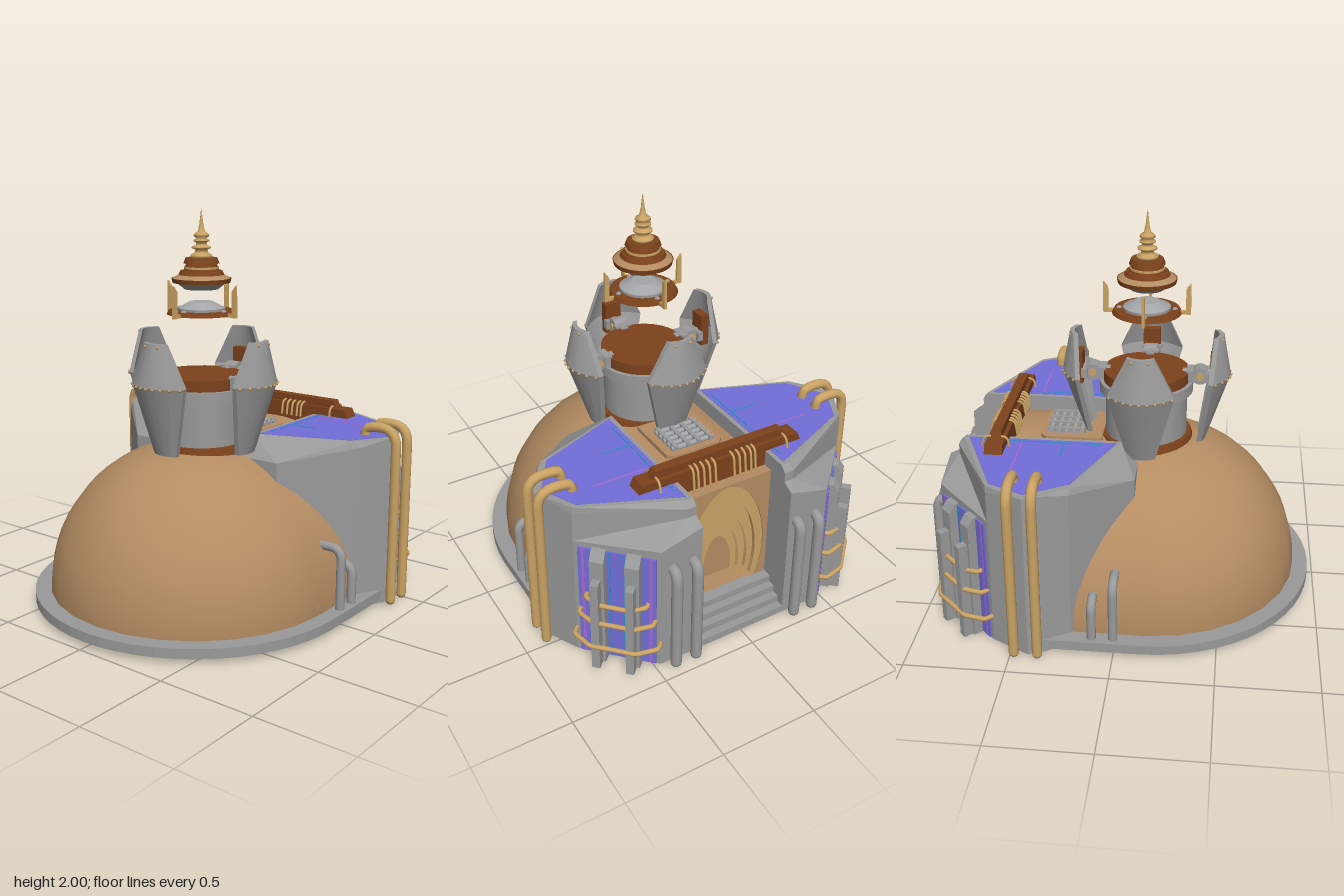
import * as THREE from 'three';
import { ConvexGeometry } from 'three/addons/geometries/ConvexGeometry.js';
import { toCreasedNormals } from 'three/addons/utils/BufferGeometryUtils.js';

const mat = (name, color, side = THREE.FrontSide) => {
  const m = new THREE.MeshStandardMaterial({ color, side });
  m.name = name;
  return m;
};
const V = (x, y, z) => new THREE.Vector3(x, y, z);

// Convex hull without its floor, so it reads as a hollow shell from below
function openHull(points) {
  const g = new ConvexGeometry(points), p = g.attributes.position, keep = [];
  for (let i = 0; i < p.count; i += 3)
    if (Math.max(p.getY(i), p.getY(i + 1), p.getY(i + 2)) > 0.001) keep.push(i, i + 1, i + 2);
  g.setIndex(keep);
  return g;
}

// Curved shell: each level is [y, half width, outer radius, edge radius]
function petalShell(levels, thick = 0.025, n = 6) {
  const pos = [], idx = [], ring = 2 * (n + 1);
  for (const [y, w, out, edge] of levels) {
    for (const inner of [0, 1]) for (let i = 0; i <= n; i++) {
      const u = (inner ? 1 - (2 * i) / n : (2 * i) / n - 1);
      pos.push(u * w, y, out - (out - edge) * u * u - inner * thick);
    }
  }
  const last = (levels.length - 1) * ring;
  for (let l = 0; l < last; l += ring) for (let i = 0; i < ring; i++) {
    const a = l + i, b = l + ((i + 1) % ring);
    idx.push(a, b, b + ring, a, b + ring, a + ring);
  }
  for (let i = 0; i < n; i++) {
    const j = ring - 1 - i;
    idx.push(i, j, j - 1, i, j - 1, i + 1);
    idx.push(last + i, last + i + 1, last + j - 1, last + i, last + j - 1, last + j);
  }
  const g = new THREE.BufferGeometry();
  g.setAttribute('position', new THREE.Float32BufferAttribute(pos, 3));
  g.setIndex(idx);
  return toCreasedNormals(g, 0.4);
}

export function createModel() {
  const root = new THREE.Group();
  root.name = 'domedTemple';
  const tan = mat('tan', 0xb48c62, THREE.DoubleSide), gray = mat('gray', 0x9a9a9a, THREE.DoubleSide), pale = mat('paleGray', 0xa4a5a8);
  const gold = mat('gold', 0xcaa364), brown = mat('brown', 0x7c421c), violet = mat('violet', 0x736dd8);
  const cyan = mat('cyan', 0x2f8fd0), pink = mat('pink', 0xa56ad6);

  const add = (name, geo, material, x = 0, y = 0, z = 0, parent = root) => {
    const m = new THREE.Mesh(geo, material);
    m.name = name;
    m.position.set(x, y, z);
    parent.add(m);
    return m;
  };
  const box = (name, w, h, d, material, x, y, z, parent) => add(name, new THREE.BoxGeometry(w, h, d), material, x, y, z, parent);
  const cyl = (name, rt, rb, y0, y1, material, parent, n = 32) =>
    add(name, new THREE.CylinderGeometry(rt, rb, y1 - y0, n), material, 0, (y0 + y1) / 2, 0, parent);
  // Pipe through points with rounded bends and capped ends
  const pipe = (name, pts, r, material, parent = root, bend = 0.06) => {
    const path = new THREE.CurvePath();
    let from = pts[0];
    for (let i = 1; i < pts.length - 1; i++) {
      const cut = (to) => {
        const d = to.clone().sub(pts[i]);
        return pts[i].clone().add(d.setLength(Math.min(bend, d.length() * 0.49)));
      };
      const a = cut(pts[i - 1]), b = cut(pts[i + 1]);
      path.add(new THREE.LineCurve3(from, a));
      path.add(new THREE.QuadraticBezierCurve3(a, pts[i], b));
      from = b;
    }
    path.add(new THREE.LineCurve3(from, pts[pts.length - 1]));
    add(name, new THREE.TubeGeometry(path, 40, r, 10), material, 0, 0, 0, parent);
    for (const p of [pts[0], pts[pts.length - 1]])
      add(name + 'End', new THREE.SphereGeometry(r, 10, 6), material, p.x, p.y, p.z, parent);
  };
  // Horizontal plate from [x, z] points, and upright z-y shape extruded towards +x
  const shapeOf = (pts) => new THREE.Shape(pts.map(p => new THREE.Vector2(...p)));
  const plate = (name, pts, y, h, material) =>
    add(name, new THREE.ExtrudeGeometry(shapeOf(pts.map(([x, z]) => [x, -z])), { depth: h, bevelEnabled: false }).rotateX(-Math.PI / 2), material, 0, y, 0);
  const upright = (name, shape, x, depth, material) =>
    add(name, new THREE.ExtrudeGeometry(shape, { depth, bevelEnabled: false, curveSegments: 20 }).rotateY(Math.PI / 2), material, x, 0, 0);

  // Base slab with a round back
  const slab = new THREE.Shape();
  slab.moveTo(0.34, -0.84).lineTo(-0.13, -0.84);
  slab.absarc(-0.13, 0, 0.84, -Math.PI / 2, -Math.PI * 1.5, true);
  slab.lineTo(0.34, 0.84);
  add('baseSlab', new THREE.ExtrudeGeometry(slab, { depth: 0.05, bevelEnabled: false, curveSegments: 14 }).rotateX(-Math.PI / 2), gray, 0, 0.02, 0);

  // Half dome running into a barrel vault
  add('dome', new THREE.SphereGeometry(0.76, 14, 16, -Math.PI / 2, Math.PI, 0, Math.PI / 2), tan, -0.13, 0.07, 0);
  add('vault', new THREE.CylinderGeometry(0.76, 0.76, 0.71, 40, 1, true, 0, Math.PI).rotateZ(Math.PI / 2), tan, 0.225, 0.07, 0);

  // Entrance: pierced front wall, arches stepping back inside it, then the steps
  const arch = (p, w, h) => {
    p.moveTo(-w * 0.78, 0.14);
    p.bezierCurveTo(-w * 1.25, 0.14 + h * 0.4, -w * 0.75, 0.14 + h * 0.97, 0, 0.14 + h);
    p.bezierCurveTo(w * 0.75, 0.14 + h * 0.97, w * 1.25, 0.14 + h * 0.4, w * 0.78, 0.14);
    p.closePath();
    return p;
  };
  const rings = [[0.235, 0.64], [0.19, 0.555], [0.155, 0.45], [0.12, 0.36], [0.085, 0.29]];
  const front = shapeOf([[-0.26, 0], [0.26, 0], [0.26, 0.79], [-0.26, 0.79]]);
  front.holes.push(arch(new THREE.Path(), ...rings[0]));
  upright('entranceFront', front, 0.58, 0.15, tan);
  box('entranceDoor', 0.03, 0.72, 0.5, tan, 0.595, 0.41, 0);
  for (let i = 0; i < 4; i++) {
    const s = arch(new THREE.Shape(), ...rings[i]);
    s.holes.push(arch(new THREE.Path(), ...rings[i + 1]));
    upright('entranceArch', s, 0.6, 0.125 - i * 0.022, gold);
  }
  for (let i = 0; i < 4; i++) box('step', 0.18 - i * 0.04, 0.038, 0.5, gray, 0.81 - i * 0.02, 0.019 + i * 0.038, 0);

  // Lintel beam with a ridge and gold clasps
  upright('lintelBeam', shapeOf([[-0.46, 0.87], [-0.44, 0.915], [0.44, 0.915], [0.46, 0.87], [0.25, 0.87],
    [0.25, 0.78], [-0.25, 0.78], [-0.25, 0.87]]), 0.585, 0.09, brown);
  upright('lintelRidge', shapeOf([[-0.38, 0.91], [-0.36, 0.955], [0.36, 0.955], [0.38, 0.91]]), 0.605, 0.05, brown);
  for (const s of [-1, 1]) for (const z of [0.053, 0.085, 0.117, 0.15, 0.175, 0.36]) {
    const y = z > 0.3 ? 0.87 : 0.81;
    pipe('beamClasp', [V(0.565, 0.85, z * s), V(0.575, 0.925, z * s), V(0.69, 0.925, z * s), V(0.705, y, z * s)], 0.006, gold, root, 0.03);
  }

  // Roof hatch with pipework
  const chamfered = (x0, x1, z, c) => [[x0, -z], [x1 - c, -z], [x1, c - z], [x1, z - c], [x1 - c, z], [x0, z]];
  plate('hatchFrame', chamfered(0.13, 0.45, 0.16, 0.03), 0.8, 0.036, tan);
  for (let i = 0; i < 5; i++)
    add('hatchPipe', new THREE.CylinderGeometry(0.014, 0.014, 0.24, 10).rotateX(Math.PI / 2), pale, 0.24 + i * 0.04, 0.845, 0);
  for (const z of [-0.1, -0.03, 0.03, 0.1]) box('hatchClamp', 0.2, 0.022, 0.02, gray, 0.32, 0.851, z);

  // Side wings, mirrored
  const low = [[-0.07, 0.25], [-0.07, 0.46], [0.21, 0.765], [0.34, 0.84], [0.41, 0.87], [0.6, 0.77], [0.84, 0.3], [0.84, 0.25]];
  const high = [[0.02, 0.25], [0.2, 0.735], [0.34, 0.84], [0.41, 0.87], [0.6, 0.765], [0.81, 0.29], [0.81, 0.25]];
  const ledge = [[0.6, 0.77, 0.68], [0.9, 0.47, 0.7], [0.9, 0.25, 0.76], [0.84, 0.25, 0.79], [0.84, 0.3, 0.79]];
  for (const s of [-1, 1]) {
    const pts = [], corner = [];
    for (const [x, z] of low) pts.push(V(x, 0, z * s), V(x, x > 0 ? 0.84 : 0.77, z * s));
    for (const [x, z] of high) pts.push(V(x, 0.87, z * s));
    add('wing', openHull(pts), gray);
    for (const [x, z, y] of ledge) corner.push(V(x, 0, z * s), V(x, y, z * s));
    add('wingCorner', openHull(corner), gray);
    plate('roofPanel', [[0.04, 0.275], [0.21, 0.71], [0.41, 0.83], [0.59, 0.74], [0.79, 0.275]].map(([x, z]) => [x, z * s]), 0.868, 0.004, violet);
    box('roofLine', 0.62, 0.003, 0.006, cyan, 0.42, 0.873, 0.3 * s);
    box('roofLine', 0.008, 0.003, 0.14, cyan, 0.3, 0.873, 0.37 * s);
    box('roofLine', 0.008, 0.003, 0.3, pink, 0.51, 0.873, 0.46 * s);
    // Tall gold pipes over the roof edge
    for (const x of [0.363, 0.478])
      pipe('goldPipe', [V(x, 0.02, 0.882 * s), V(x, 0.918, 0.882 * s), V(x, 0.918, 0.705 * s), V(x, 0.86, 0.705 * s)], 0.025, gold, root, 0.09);
    // Short pipes into the dome and beside the entrance
    for (const [x, y] of [[0.003, 0.38], [0.108, 0.27]])
      pipe('domePipe', [V(x, 0.06, 0.8 * s), V(x, y, 0.8 * s), V(x, y, 0.68 * s)], 0.023, gray);
    for (const z of [0.408, 0.295])
      pipe('entrancePipe', [V(0.94, 0.02, z * s), V(0.94, 0.58, z * s), V(0.86, 0.58, z * s)], 0.028, gray);

    // Angled wall panel: violet plate, glowing lines, pillars and hoops
    const wall = new THREE.Group();
    wall.name = 'wallPanel';
    wall.position.set(0.753, 0, 0.623 * s);
    wall.rotation.y = s > 0 ? Math.PI / 4 : Math.PI * 0.75;
    root.add(wall);
    box('violetPlate', 0.38, 0.65, 0.009, violet, 0, 0.33, 0, wall);
    for (const t of [-1, 1]) {
      box('cyanLine', 0.008, 0.65, 0.003, cyan, t * 0.035, 0.33, 0.005, wall);
      box('pinkLine', 0.014, 0.65, 0.003, pink, t * 0.165, 0.33, 0.005, wall);
      box('tallPillar', 0.07, 0.62, 0.06, gray, t * 0.085, 0.31, 0.02, wall);
      const cap = [];
      for (const a of [-0.035, 0.035]) cap.push(V(a, 0, -0.01), V(a, 0, 0.05), V(a, 0.045, -0.01), V(a, 0.04, 0.02));
      add('pillarCap', new ConvexGeometry(cap), gray, t * 0.085, 0.62, 0, wall);
      box('shortPillar', 0.04, 0.52, 0.1, gray, t * 0.085, 0.26, 0.05, wall);
    }
    for (const [y, w, d] of [[0.14, 0.21, 0.1], [0.28, 0.185, 0.085], [0.38, 0.15, 0.07]])
      pipe('goldHoop', [V(-w, y, 0), V(-w, y, d * 0.4), V(-w * 0.55, y, d), V(w * 0.55, y, d), V(w, y, d * 0.4), V(w, y, 0)], 0.012, gold, wall, 0.012);
  }

  // Tower drum
  const tower = new THREE.Group();
  tower.name = 'tower';
  tower.position.x = -0.085;
  root.add(tower);
  cyl('collar', 0.235, 0.245, 0.79, 0.83, brown, tower);
  cyl('drum', 0.21, 0.21, 0.82, 1.07, gray, tower);
  cyl('drumRing', 0.24, 0.24, 1.06, 1.115, gray, tower);
  cyl('drumCap', 0.22, 0.22, 1.11, 1.17, brown, tower);

  // Four armoured petals on jointed arms, and four gold brackets above
  const shell = petalShell([[0.8, 0.07, 0.31, 0.29], [1.16, 0.165, 0.43, 0.345], [1.37, 0.065, 0.39, 0.365]]);
  for (let k = 0; k < 4; k++) {
    const arm = new THREE.Group();
    arm.name = 'petalArm';
    arm.rotation.y = k * Math.PI / 2;
    tower.add(arm);
    add('petal', shell, gray, 0, 0, 0, arm);
    for (let i = -4; i <= 4; i++) {
      const u = i / 4.3;
      add('rivet', new THREE.SphereGeometry(0.008, 6, 4), gold, u * 0.165, 1.155, 0.43 - 0.085 * u * u, arm);
    }
    for (const x of [-0.04, 0.04]) add('rivet', new THREE.SphereGeometry(0.008, 6, 4), gold, x, 1.355, 0.385, arm);
    box('petalMount', 0.09, 0.17, 0.045, brown, 0, 1.175, 0.347, arm);
    add('armRod', new THREE.CylinderGeometry(0.03, 0.03, 0.15, 12).rotateX(Math.PI / 2), gray, 0, 1.15, 0.26, arm);
    add('armJoint', new THREE.CylinderGeometry(0.045, 0.045, 0.07, 16).rotateZ(Math.PI / 2), gray, 0, 1.15, 0.275, arm);
    add('jointPin', new THREE.CylinderGeometry(0.02, 0.02, 0.085, 12).rotateZ(Math.PI / 2), gold, 0, 1.15, 0.275, arm);
    box('armClamp', 0.09, 0.06, 0.04, gray, 0, 1.15, 0.225, arm);
    box('armFork', 0.11, 0.05, 0.03, gray, 0, 1.15, 0.315, arm);

    box('bracketFoot', 0.014, 0.018, 0.1, gold, 0, 1.48, 0.165, arm);
    const post = [];
    for (const x of [-0.007, 0.007]) post.push(V(x, 1.47, 0.193), V(x, 1.47, 0.22), V(x, 1.63, 0.218), V(x, 1.6, 0.195));
    add('bracketPost', new ConvexGeometry(post), gold, 0, 0, 0, arm);
    add('bracketKnob', new THREE.SphereGeometry(0.016, 8, 6), gray, 0, 1.49, 0.14, arm);
  }

  // Floating crown
  cyl('crownRing', 0.165, 0.175, 1.475, 1.495, brown, tower);
  cyl('lowerDishRim', 0.12, 0.12, 1.495, 1.507, gray, tower);
  cyl('lowerDish', 0.06, 0.115, 1.507, 1.537, pale, tower, 16);
  cyl('upperBowl', 0.13, 0.085, 1.6, 1.635, gray, tower);
  cyl('crownDisc', 0.15, 0.145, 1.633, 1.655, brown, tower);
  cyl('crownSlope', 0.11, 0.145, 1.655, 1.675, tan, tower);
  cyl('crownTier', 0.105, 0.115, 1.672, 1.692, brown, tower);
  cyl('crownNeck', 0.075, 0.09, 1.692, 1.73, brown, tower);
  cyl('crownGoldBand', 0.088, 0.088, 1.702, 1.712, gold, tower);
  cyl('crownTop', 0.08, 0.09, 1.728, 1.755, brown, tower);
  const spire = [[0.001, 1.75], [0.05, 1.755], [0.055, 1.768], [0.035, 1.78], [0.03, 1.795], [0.048, 1.802], [0.048, 1.81],
    [0.028, 1.818], [0.026, 1.83], [0.04, 1.836], [0.04, 1.843], [0.024, 1.85], [0.04, 1.862], [0.036, 1.872], [0.018, 1.885],
    [0.01, 1.92], [0.001, 1.995]];
  add('spire', new THREE.LatheGeometry(spire.map(p => new THREE.Vector2(...p)), 20), gold, 0, 0, 0, tower);
  return root;
}
